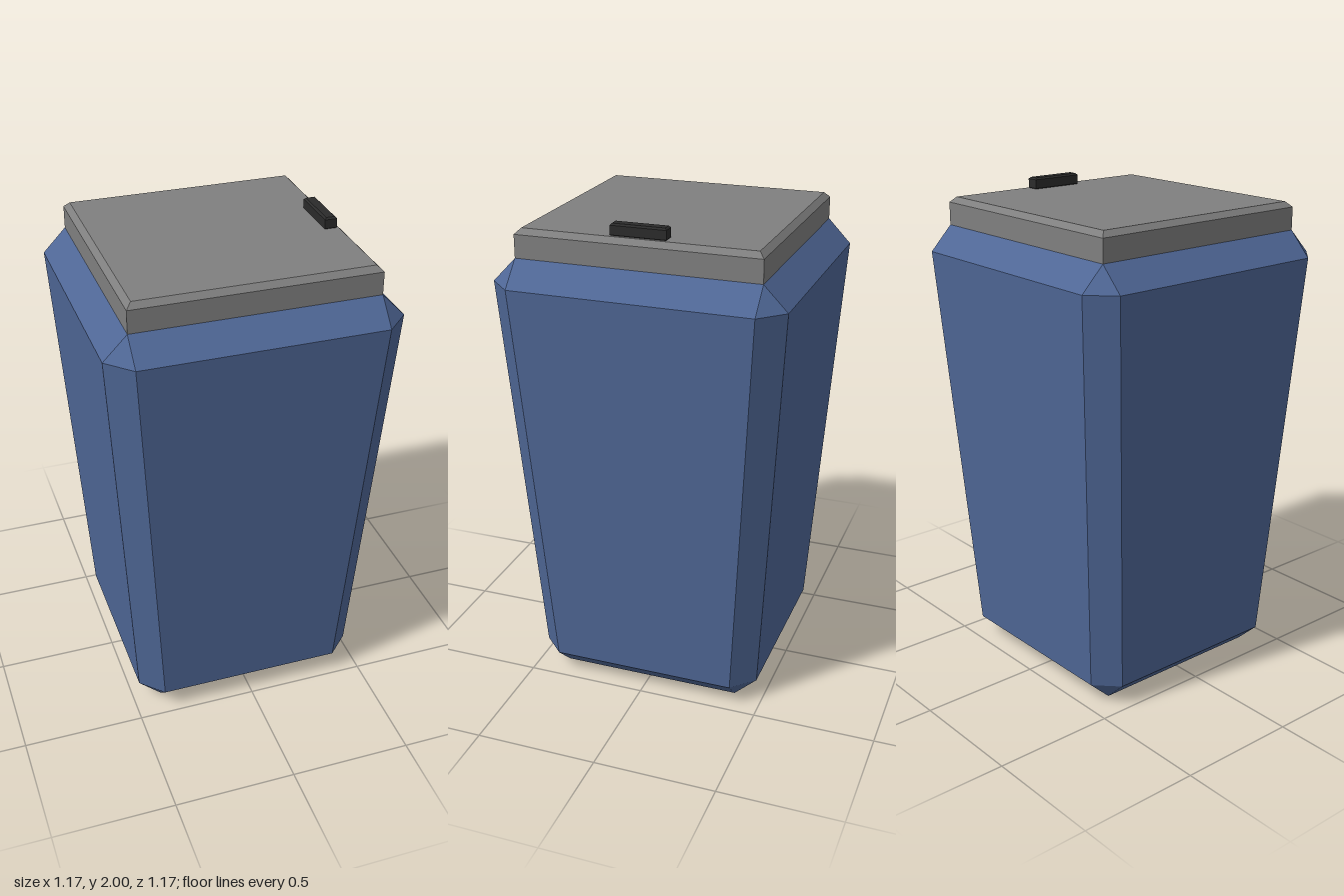
import * as THREE from 'three';

const material = (name, color) => {
  const m = new THREE.MeshStandardMaterial({ color });
  m.name = name;
  return m;
};

// Rectangle with cut corners: half width, half depth, corner cut
const ring = ([y, hx, hz, c]) => [
  [hx, -hz + c], [hx, hz - c], [hx - c, hz], [-hx + c, hz],
  [-hx, hz - c], [-hx, -hz + c], [-hx + c, -hz], [hx - c, -hz],
].map(([x, z]) => new THREE.Vector3(x, y, z));

// Faceted solid through stacked rings, from bottom to top, capped at both ends
function loft(sections) {
  const rings = sections.map(ring);
  const points = [];
  const tri = (a, b, c) => {
    if (new THREE.Triangle(a, b, c).getArea() > 1e-7) points.push(a, b, c);
  };
  for (let k = 0; k < rings.length - 1; k++) {
    const lo = rings[k], hi = rings[k + 1];
    for (let i = 0; i < 8; i++) {
      const j = (i + 1) % 8;
      tri(lo[i], hi[i], lo[j]);
      tri(hi[i], hi[j], lo[j]);
    }
  }
  const bottom = rings[0], top = rings[rings.length - 1];
  for (let i = 1; i < 7; i++) {
    tri(bottom[0], bottom[i], bottom[i + 1]);
    tri(top[0], top[i + 1], top[i]);
  }
  const geometry = new THREE.BufferGeometry().setFromPoints(points);
  geometry.computeVertexNormals();
  return geometry;
}

export function createModel() {
  const group = new THREE.Group();
  group.name = 'bin';
  const add = (name, sections, mat) => {
    const mesh = new THREE.Mesh(loft(sections), mat);
    mesh.name = name;
    group.add(mesh);
    return mesh;
  };

  // Tapered body with bevelled edges
  add('body', [
    [0, 0.38, 0.38, 0],
    [0.09, 0.475, 0.475, 0.09],
    [1.742, 0.583, 0.583, 0.096],
    [1.84, 0.488, 0.488, 0],
  ], material('blue', 0x4f6796));

  // Square lid with a bevelled top edge
  add('lid', [
    [1.84, 0.488, 0.488, 0],
    [1.932, 0.488, 0.488, 0],
    [1.954, 0.466, 0.466, 0],
  ], material('grey', 0x7f7f7f));

  // Small grip near one edge of the lid
  const grip = add('lidHandle', [
    [1.95, 0.018, 0.104, 0],
    [1.957, 0.025, 0.111, 0],
    [1.993, 0.025, 0.111, 0],
    [2, 0.018, 0.104, 0],
  ], material('black', 0x2b2b2b));
  grip.position.x = 0.432;

  return group;
}
